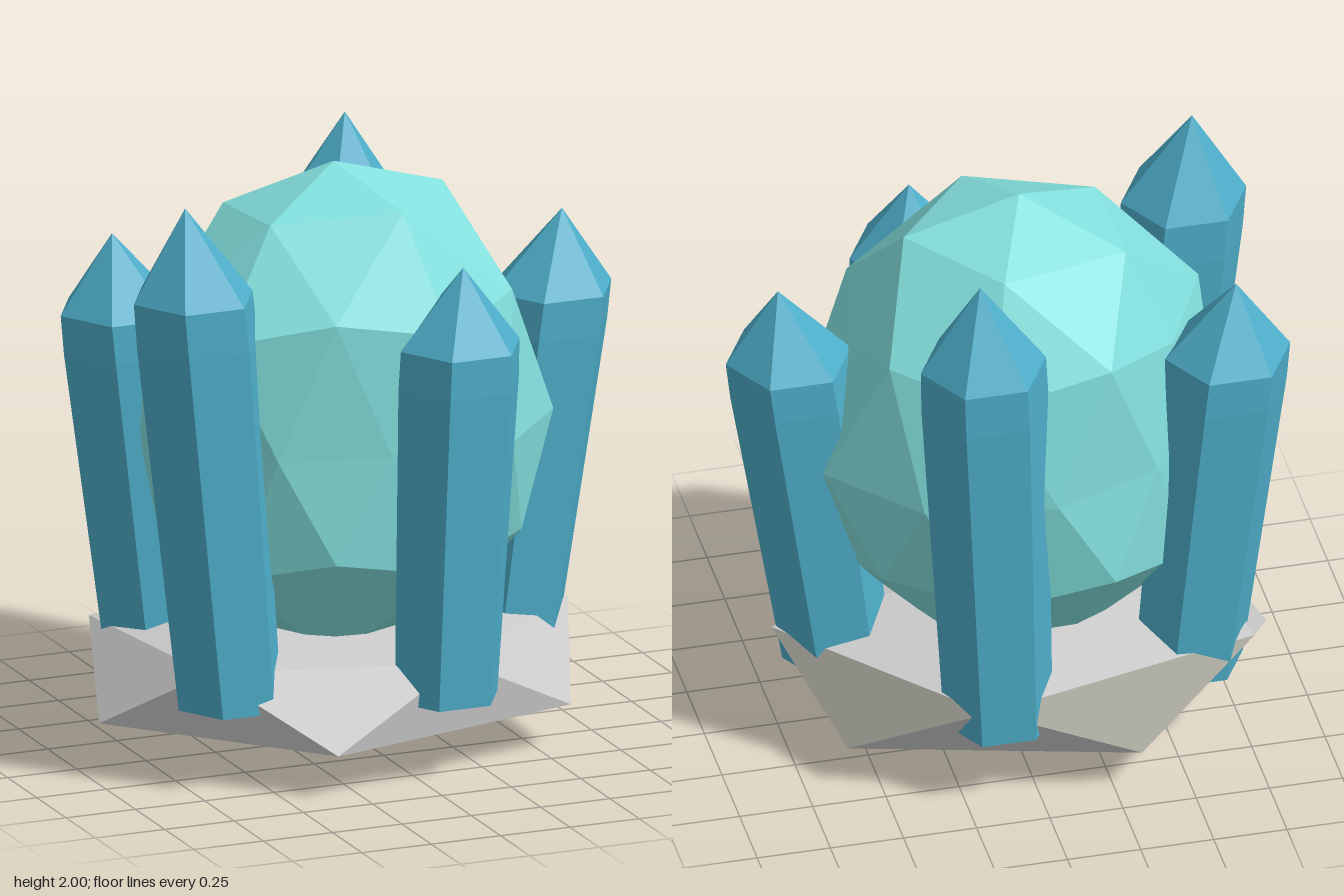
import * as THREE from 'three';

const CX = -0.075; // shared axis of rock, core and crystal ring

const mat = (name, color) => {
  const m = new THREE.MeshStandardMaterial({ color });
  m.name = name;
  return m;
};

// Icosphere turned so that one corner points up and the upper ring starts at +x
function poleIcosphere(detail) {
  const g = new THREE.IcosahedronGeometry(1, detail);
  g.rotateX(-Math.atan((1 + Math.sqrt(5)) / 2));
  g.rotateY(Math.PI / 2);
  return g;
}

// Moves single corners toward or away from the axis: [azimuth in degrees, height, factor]
function pullIn(g, dents) {
  const p = g.attributes.position;
  const targets = dents.map(([deg, y, f]) => {
    const a = THREE.MathUtils.degToRad(deg), r = Math.sqrt(1 - y * y);
    return { dir: new THREE.Vector3(r * Math.cos(a), y, r * Math.sin(a)), f };
  });
  const v = new THREE.Vector3();
  for (let i = 0; i < p.count; i++) {
    v.fromBufferAttribute(p, i);
    const hit = targets.find((t) => t.dir.distanceTo(v) < 0.1);
    if (hit) p.setXYZ(i, v.x * hit.f, v.y, v.z * hit.f);
  }
}

// Flattened rock, with a few faces in a warmer stone
function makeRock(materials) {
  const g = poleIcosphere(0);
  const p = g.attributes.position;
  const warmFaces = [[-108, 0.15], [-36, 0.15], [-72, -0.63]]; // azimuth, height of face centre
  g.clearGroups();
  for (let i = 0; i < p.count; i += 3) {
    const c = new THREE.Vector3();
    for (let k = 0; k < 3; k++) c.add(new THREE.Vector3().fromBufferAttribute(p, i + k));
    c.divideScalar(3);
    const az = THREE.MathUtils.radToDeg(Math.atan2(c.z, c.x));
    const warm = warmFaces.some(([a, y]) => Math.abs(az - a) < 10 && Math.abs(c.y - y) < 0.1);
    g.addGroup(i, 3, warm ? 1 : 0);
  }
  pullIn(g, [[72, 0.447, 0.85], [144, 0.447, 0.88], [-144, 0.447, 1.03]]);
  g.scale(0.945, 0.271, 0.777);
  g.translate(CX, 0.268, 0);
  g.computeVertexNormals();
  const mesh = new THREE.Mesh(g, materials);
  mesh.name = 'rockBase';
  return mesh;
}

// Faceted, slightly uneven egg-shaped core
function makeCore(material) {
  const g = poleIcosphere(1);
  const p = g.attributes.position;
  pullIn(g, [
    [90, 0, 0.83], [126, 0, 0.85], [162, 0, 0.9], [198, 0, 0.9], [234, 0, 0.85], [270, 0, 0.93],
    [0, 0.447, 0.86], [216, 0.447, 0.85], [108, 0.526, 0.96], [180, 0.526, 0.96],
    [108, -0.447, 0.92], [180, -0.447, 0.9], [144, -0.526, 0.92], [144, 0.851, 0.95],
  ]);
  for (let i = 0; i < p.count; i++) {
    const x = p.getX(i), y = p.getY(i), z = p.getZ(i);
    if (y > 0.8) p.setY(i, y + 0.045 * x + 0.034 * z); // tilted ring below the tip
    else if (y < -0.8) p.setXYZ(i, x * 0.78, y, z * 0.78); // narrow foot
    else if (y < -0.4) p.setY(i, y + 0.04); // raised lower ring
  }
  g.scale(0.75, 0.89, 0.61);
  g.translate(CX, 1.11, 0);
  g.computeVertexNormals();
  const mesh = new THREE.Mesh(g, material);
  mesh.name = 'core';
  return mesh;
}

// Six-sided pointed crystal whose axis leans along x
function makeCrystal(height, lean, material) {
  const profile = [[0, 0], [0.185, 0], [0.217, 0.73], [0.214, 0.82], [0, 1]]
    .map(([r, t]) => new THREE.Vector2(r, t * height));
  const g = new THREE.LatheGeometry(profile, 6, Math.PI / 2).toNonIndexed();
  const p = g.attributes.position;
  for (let i = 0; i < p.count; i++) p.setX(i, p.getX(i) + lean * p.getY(i) / height);
  g.computeVertexNormals();
  const mesh = new THREE.Mesh(g, material);
  mesh.name = 'crystal';
  return mesh;
}

export function createModel() {
  const stone = mat('grey stone', 0xcacaca);
  const warmStone = mat('warm stone', 0xa5a59a);
  const aqua = mat('pale aqua', 0x82dfdd);
  const blue = mat('crystal blue', 0x4eaeca);

  const model = new THREE.Group();
  model.name = 'crystalCluster';
  model.add(makeRock([stone, warmStone]), makeCore(aqua));

  // Five crystals on an oval ring, short and tall in turn
  for (let i = 0; i < 5; i++) {
    const a = -i * Math.PI * 2 / 5;
    const crystal = makeCrystal(i % 2 ? 1.74 : 1.48, 0.2 * Math.cos(a), blue);
    crystal.position.set(CX + 0.624 * Math.cos(a), 0.26, 0.532 * Math.sin(a));
    model.add(crystal);
  }
  return model;
}
